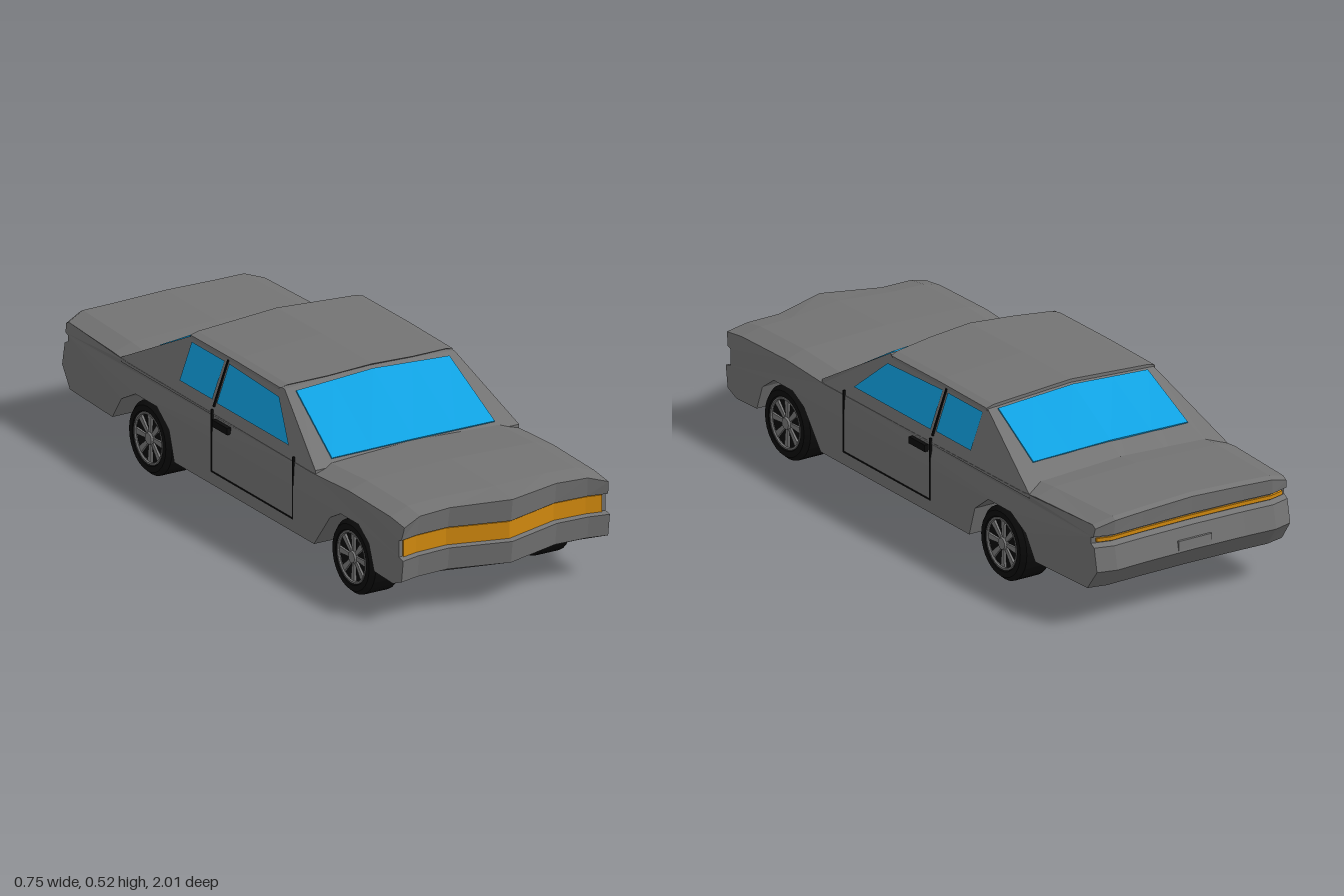
import * as THREE from 'three';

const mat = (name, color, extra = {}) =>
  Object.assign(new THREE.MeshStandardMaterial({ color, flatShading: true, ...extra }), { name });

// Piecewise linear lookup
function lerpTable(table, x) {
  for (let i = 1; i < table.length; i++) {
    const [x0, y0] = table[i - 1], [x1, y1] = table[i];
    if (x <= x1) return y0 + (y1 - y0) * (x - x0) / (x1 - x0);
  }
  return table[table.length - 1][1];
}

// Side profile of [z, y] points carried across the x stations, then bent by a rule
function loft(profile, stations, warp) {
  const n = stations.length - 1;
  const shape = new THREE.Shape(profile.map(p => new THREE.Vector2(p[0], p[1])));
  const geo = new THREE.ExtrudeGeometry(shape, { depth: n, steps: n, bevelEnabled: false });
  const pos = geo.attributes.position, v = new THREE.Vector3();
  for (let i = 0; i < pos.count; i++) {
    v.set(-stations[Math.round(pos.getZ(i))], pos.getY(i), pos.getX(i));
    warp(v);
    pos.setXYZ(i, v.x, v.y, v.z);
  }
  geo.computeVertexNormals();
  return geo;
}
const mirrored = (...xs) => [...xs.map(x => -x), 0, ...xs.slice().reverse()];

// Lower body: pointed nose, crowned top, dropped shoulders, tapered tail
const NOSE = [[0, 0], [0.19, -0.055], [0.3, -0.05], [0.365, -0.035]];
const TAIL = [[0, 0.004], [0.19, 0], [0.31, -0.006], [0.365, 0.012]];
const CROWN = [[0, 0.009], [0.3, 0], [0.365, -0.02]];
function bodyWarp(v) {
  const ax = Math.abs(v.x);
  const nose = THREE.MathUtils.clamp((v.z - 0.85) / 0.12, 0, 1);
  const tail = THREE.MathUtils.clamp((-v.z - 0.85) / 0.12, 0, 1);
  v.z += nose * lerpTable(NOSE, ax) + tail * lerpTable(TAIL, ax);
  v.x *= 1 - 0.04 * tail;
  if (v.y > 0.31) {
    v.y += lerpTable(CROWN, ax);
    v.x *= 0.988;
  }
}

// Cabin: leans inward with height, roof crowned along the middle
const cabinWarp = lean => v => {
  const t = THREE.MathUtils.clamp((v.y - 0.33) / 0.16, 0, 1.05);
  v.x *= 1 - lean * t;
  v.y += 0.018 * t * Math.max(0, 1 - Math.abs(v.x) / 0.3);
};

// Thin sheet profile between two [z, y] points
function sheet(a, b, h = 0.004) {
  const dz = b[0] - a[0], dy = b[1] - a[1], l = Math.hypot(dz, dy);
  const nz = -dy / l * h, ny = dz / l * h;
  return [[a[0] + nz, a[1] + ny], [b[0] + nz, b[1] + ny], [b[0] - nz, b[1] - ny], [a[0] - nz, a[1] - ny]];
}

export function createModel() {
  const paint = mat('body grey', 0x737373);
  const glass = mat('window blue', 0x10a2e2);
  const sideGlass = mat('side window blue', 0x10a2e2, { side: THREE.DoubleSide });
  sideGlass.name = glass.name;
  const amber = mat('light amber', 0xd0880e);
  const black = mat('tyre black', 0x0b0b0b);
  const alloy = mat('wheel grey', 0x787878);

  const car = new THREE.Group();
  car.name = 'car';
  const add = (name, geo, material, parent = car) => {
    const m = new THREE.Mesh(geo, material);
    m.name = name;
    parent.add(m);
    return m;
  };
  const box = (name, size, at, material, parent = car) => {
    const m = add(name, new THREE.BoxGeometry(...size), material, parent);
    m.position.set(...at);
    return m;
  };

  // Body shell with wheel arches
  const across = mirrored(0.365, 0.3, 0.19);
  add('bodyShell', loft([
    [1, 0.333], [0.9, 0.343], [0.65, 0.348], [0.44, 0.337], [-0.6, 0.345], [-0.68, 0.352], [-0.97, 0.354],
    [-0.985, 0.345], [-0.98, 0.298], [-0.967, 0.294], [-0.967, 0.274], [-0.985, 0.264], [-1, 0.19], [-0.95, 0.125],
    [-0.68, 0.125], [-0.63, 0.2], [-0.55, 0.242], [-0.43, 0.242], [-0.36, 0.19], [-0.33, 0.095],
    [0.46, 0.095], [0.55, 0.21], [0.61, 0.242], [0.71, 0.242], [0.77, 0.2], [0.8, 0.12],
    [0.93, 0.116], [0.99, 0.136], [1, 0.207], [0.976, 0.212], [0.976, 0.266], [0.99, 0.27],
  ], across, bodyWarp), paint);
  box('floorPan', [0.47, 0.165, 1.45], [0, 0.1775, 0.085], paint);

  // Light strips front and rear
  const lampAcross = mirrored(0.35, 0.3, 0.19);
  add('frontLightBar', loft([[0.974, 0.211], [0.982, 0.211], [0.982, 0.265], [0.974, 0.265]], lampAcross, bodyWarp), amber);
  add('rearLightBar', loft([[-0.966, 0.278], [-0.974, 0.278], [-0.974, 0.29], [-0.966, 0.29]], lampAcross, bodyWarp), amber);
  box('rearPlate', [0.12, 0.03, 0.008], [0, 0.212, -0.994], alloy);

  // Cabin, roof and sloping glass
  add('cabin', loft([[0.46, 0.315], [0.46, 0.33], [0.19, 0.49], [-0.33, 0.49], [-0.64, 0.33], [-0.64, 0.315]],
    mirrored(0.36, 0.3, 0.16), cabinWarp(0.167)), paint);
  const roofWarp = cabinWarp(0);
  add('roof', loft([[0.19, 0.487], [0.205, 0.496], [-0.08, 0.499], [-0.335, 0.497], [-0.335, 0.487]],
    mirrored(0.305, 0.28, 0.15), v => {
      if (v.z > 0.1) v.z -= 0.03 * (v.x / 0.3) ** 2;
      if (Math.abs(v.x) > 0.3) v.y -= 0.006;
      roofWarp(v);
    }), paint);
  add('windscreen', loft(sheet([0.436, 0.345], [0.207, 0.481]), mirrored(0.29, 0.15), cabinWarp(0.07)), glass);
  add('rearWindow', loft(sheet([-0.345, 0.483], [-0.545, 0.38]), mirrored(0.285, 0.15), cabinWarp(0.05)), glass);

  // Side windows, door seams and handles
  const windows = {
    frontSideWindow: [[0.3, 0.357], [0.18, 0.465], [-0.108, 0.475], [-0.108, 0.357]],
    rearSideWindow: [[-0.135, 0.36], [-0.135, 0.475], [-0.32, 0.475], [-0.32, 0.36]],
  };
  const cabinX = y => 0.36 * (1 - 0.167 * (y - 0.33) / 0.16) + 0.004;
  for (const s of [-1, 1]) {
    const side = new THREE.Group();
    side.name = s > 0 ? 'leftSide' : 'rightSide';
    car.add(side);
    for (const [name, pts] of Object.entries(windows)) {
      const geo = new THREE.BufferGeometry();
      geo.setAttribute('position', new THREE.Float32BufferAttribute(
        pts.flatMap(([z, y]) => [s * cabinX(y), y, z]), 3));
      geo.setIndex(s > 0 ? [0, 2, 1, 0, 3, 2] : [0, 1, 2, 0, 2, 3]);
      geo.computeVertexNormals();
      add(name, geo, sideGlass, side);
    }
    const x = s * 0.363;
    box('doorSeamBottom', [0.007, 0.005, 0.46], [x, 0.137, 0.11], black, side);
    box('doorSeamFront', [0.007, 0.2, 0.005], [x, 0.235, 0.34], black, side);
    box('doorSeamRear', [0.007, 0.2, 0.005], [x, 0.235, -0.12], black, side);
    const pillar = box('pillarSeam', [0.006, 0.15, 0.006], [s * (cabinX(0.412) - 0.003), 0.412, -0.121], black, side);
    pillar.rotation.z = s * Math.atan(0.06 / 0.16);
    box('doorHandle', [0.014, 0.022, 0.085], [s * 0.366, 0.298, -0.062], black, side);
  }

  // Wheels: rounded tyre, dark hub, rim ring and spokes
  const tyre = new THREE.LatheGeometry([
    [0.08, -0.05], [0.086, -0.058], [0.104, -0.058], [0.117, -0.043],
    [0.117, 0.043], [0.104, 0.058], [0.086, 0.058], [0.08, 0.05],
  ].map(p => new THREE.Vector2(...p)), 28).rotateZ(-Math.PI / 2);
  const hub = new THREE.CylinderGeometry(0.082, 0.082, 0.088, 28).rotateZ(-Math.PI / 2);
  const ring = new THREE.TorusGeometry(0.079, 0.005, 6, 28).rotateY(Math.PI / 2);
  const cap = new THREE.CylinderGeometry(0.018, 0.022, 0.012, 12).rotateZ(-Math.PI / 2);
  const spoke = new THREE.CylinderGeometry(0.014, 0.008, 0.066, 4, 1).rotateY(Math.PI / 4);
  spoke.scale(0.6, 1, 1).translate(0, 0.045, 0);
  for (const z of [0.66, -0.49]) for (const s of [-1, 1]) {
    const wheel = new THREE.Group();
    wheel.name = (z > 0 ? 'front' : 'rear') + (s > 0 ? 'Left' : 'Right') + 'Wheel';
    wheel.position.set(s * 0.302, 0.117, z);
    if (s < 0) wheel.rotation.y = Math.PI;
    add('tyre', tyre, black, wheel);
    add('hub', hub, black, wheel);
    add('rimRing', ring, alloy, wheel).position.x = 0.052;
    add('hubCap', cap, alloy, wheel).position.x = 0.05;
    for (let i = 0; i < 8; i++) {
      const sp = add('spoke', spoke, alloy, wheel);
      sp.position.x = 0.046;
      sp.rotation.x = i * Math.PI / 4;
    }
    car.add(wheel);
  }
  return car;
}
